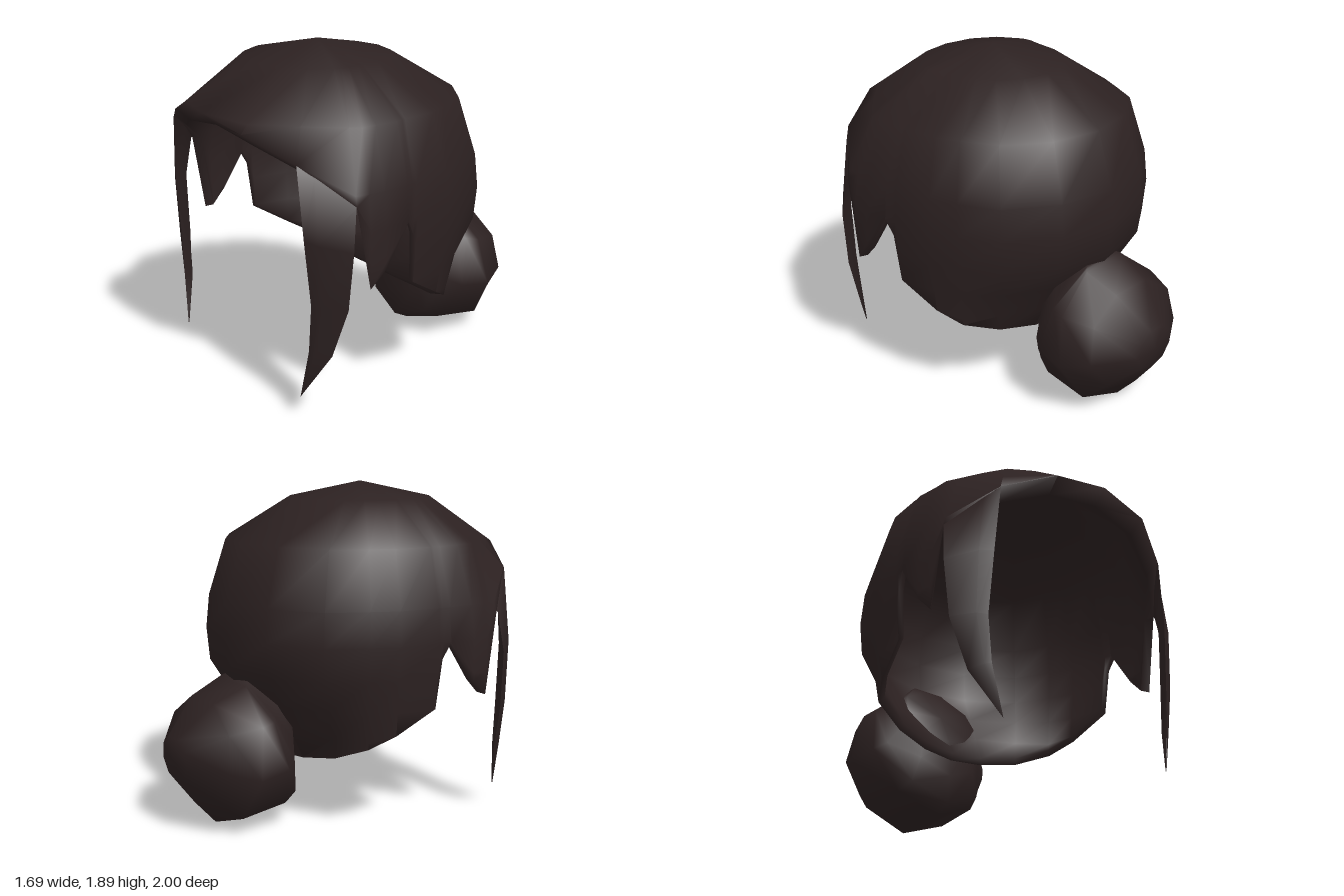
import * as THREE from 'three';
import { mergeVertices, toCreasedNormals } from 'three/addons/utils/BufferGeometryUtils.js';

const hair = new THREE.MeshStandardMaterial({ color: 0x2c2121, side: THREE.DoubleSide });
hair.name = 'darkBrownHair';

// Skin a closed ring of columns (each a list of points running downwards).
function skin(columns) {
  const pos = [];
  const tri = (a, b, c) => {
    const n = new THREE.Vector3().subVectors(b, a).cross(new THREE.Vector3().subVectors(c, a));
    if (n.length() > 1e-7) for (const p of [a, b, c]) pos.push(p.x, p.y, p.z);
  };
  columns.forEach((col, i) => {
    const next = columns[(i + 1) % columns.length];
    for (let k = 0; k < col.length - 1; k++) {
      tri(col[k], col[k + 1], next[k]);
      tri(next[k], col[k + 1], next[k + 1]);
    }
  });
  const g = new THREE.BufferGeometry();
  g.setAttribute('position', new THREE.Float32BufferAttribute(pos, 3));
  return toCreasedNormals(mergeVertices(g, 1e-4), 1.9);
}

function addMesh(parent, name, geometry) {
  const m = new THREE.Mesh(geometry, hair);
  m.name = name;
  parent.add(m);
}

// Dome profile: height and share of the full plan radius
const SHOULDER = 1.8, SHOULDER_SHARE = 0.46;
const TAPER_TOP = 0.87, TAPER_SHARE = 0.98;
const PROFILE = [
  [1.89, 0], [SHOULDER, SHOULDER_SHARE], [1.57, 0.87], [1.25, 0.98], [1.06, 1],
  [TAPER_TOP, TAPER_SHARE], [0.69, 0.96], [0.52, 0.9], [0.34, 0.8],
];
// Plan outline from front to back on one side: x, z, height of the edge,
// flattening above it, and share of the radius at the edge where the nape tapers
const OUTLINE = [
  [0, 1.125, 1.58, 0], [0.38, 1.06, 1.53, 1], [0.67, 0.87, 1.41, 0.85], [0.83, 0.605, 1.2, 0.3],
  [0.86, 0.53, 0.74, 0.15], [0.86, 0.43, 0.83, 0.15], [0.83, 0.27, 1.06, 0], [0.82, 0.225, 0.97, 0],
  [0.82, 0.2, 0.69, 0], [0.79, -0.04, 0.555, 0, 0.92], [0.72, -0.19, 0.48, 0, 0.9],
  [0.61, -0.41, 0.395, 0, 0.72], [0.33, -0.6, 0.355, 0, 0.63], [0, -0.67, 0.34, 0, 0.6],
];
const CROWN_Z = 0.25;

function radiusShare(y) {
  for (let i = 1; i < PROFILE.length; i++) {
    const [y0, f0] = PROFILE[i - 1], [y1, f1] = PROFILE[i];
    if (y >= y1 - 1e-6) return f0 + (f1 - f0) * (y0 - y) / (y0 - y1);
  }
}

// Inner lining of the shell, with a deeper lip under the fringe
const inset = (p) => new THREE.Vector3(
  p.x * 0.96,
  1 + (p.y - 1) * 0.95 - 0.05 * THREE.MathUtils.smoothstep(p.z, 0.6, 0.9),
  0.2 + (p.z - 0.2) * (p.z > 0.2 ? 0.89 : 0.95),
);

function capGeometry() {
  const { lerp, mapLinear } = THREE.MathUtils;
  const mirrored = OUTLINE.slice(1, -1).reverse().map(([x, ...rest]) => [-x, ...rest]);
  const columns = [...OUTLINE, ...mirrored].map(([x, z, rim, flat, napeShare]) => {
    const outer = PROFILE.map(([level]) => {
      const y = Math.max(level, rim);
      let f = radiusShare(y);
      if (y < SHOULDER) f = lerp(f, mapLinear(y, SHOULDER, rim, SHOULDER_SHARE, radiusShare(rim)), flat);
      if (napeShare && y < TAPER_TOP) f = mapLinear(y, TAPER_TOP, rim, TAPER_SHARE, napeShare);
      return new THREE.Vector3(x * f, y, CROWN_Z + (z - CROWN_Z) * f);
    });
    return [...outer, ...outer.map(inset).reverse()];
  });
  return skin(columns);
}

// Long tapering lock: front edge x y z, back edge x y z, bulge
const LOCK = [
  [0.58, 1.45, 0.76, 0.765, 1.26, 0.56, 0],
  [0.62, 1.405, 0.826, 0.822, 1.195, 0.605, 0.008],
  [0.655, 1.02, 0.812, 0.845, 0.97, 0.637, 0.025],
  [0.67, 0.66, 0.782, 0.815, 0.65, 0.65, 0.025],
  [0.65, 0.4, 0.785, 0.725, 0.37, 0.69, 0.015],
  [0.595, 0.12, 0.805, 0.595, 0.12, 0.805, 0],
];

function lockGeometry(side) {
  const columns = [[], [], [], []];
  for (const [fx, fy, fz, bx, by, bz, bulge] of LOCK) {
    const front = new THREE.Vector3(fx, fy, fz), back = new THREE.Vector3(bx, by, bz);
    const out = new THREE.Vector3(0.7, 0, 0.7);
    const section = [
      front, front.clone().lerp(back, 0.3).addScaledVector(out, bulge),
      back, front.clone().lerp(back, 0.5).addScaledVector(out, -bulge - 0.005),
    ];
    section.forEach((p, i) => { p.x *= side; columns[i].push(p); });
  }
  return skin(side > 0 ? columns : columns.reverse());
}

// Nine-sided bun rings from front to back: bottom y z, top y z, half width
const BUN = [
  [0.63, -0.4, 0.63, -0.4, 0],
  [0.46, -0.32, 0.8, -0.48, 0.26],
  [0.25, -0.31, 0.84, -0.53, 0.3],
  [0.09, -0.32, 0.82, -0.6, 0.37],
  [0.04, -0.42, 0.81, -0.61, 0.42],
  [0, -0.74, 0.8, -0.62, 0.445],
  [0.14, -0.87, 0.72, -0.81, 0.37],
  [0.28, -0.98, 0.53, -1, 0.14],
  [0.4, -1, 0.4, -1, 0],
];

function bunGeometry() {
  const sides = 9, topCos = Math.cos(Math.PI / sides);
  const columns = Array.from({ length: sides }, (_, i) => {
    const a = i / sides * Math.PI * 2, t = (1 - Math.cos(a)) / (1 + topCos);
    return BUN.map(([by, bz, ty, tz, w]) => new THREE.Vector3(
      w * Math.sin(a), by + (ty - by) * t, bz + (tz - bz) * t,
    ));
  });
  return skin(columns);
}

export function createModel() {
  const model = new THREE.Group();
  model.name = 'hairstyle';
  addMesh(model, 'hairCap', capGeometry());
  addMesh(model, 'leftLock', lockGeometry(1));
  addMesh(model, 'rightLock', lockGeometry(-1));
  addMesh(model, 'bun', bunGeometry());
  return model;
}
